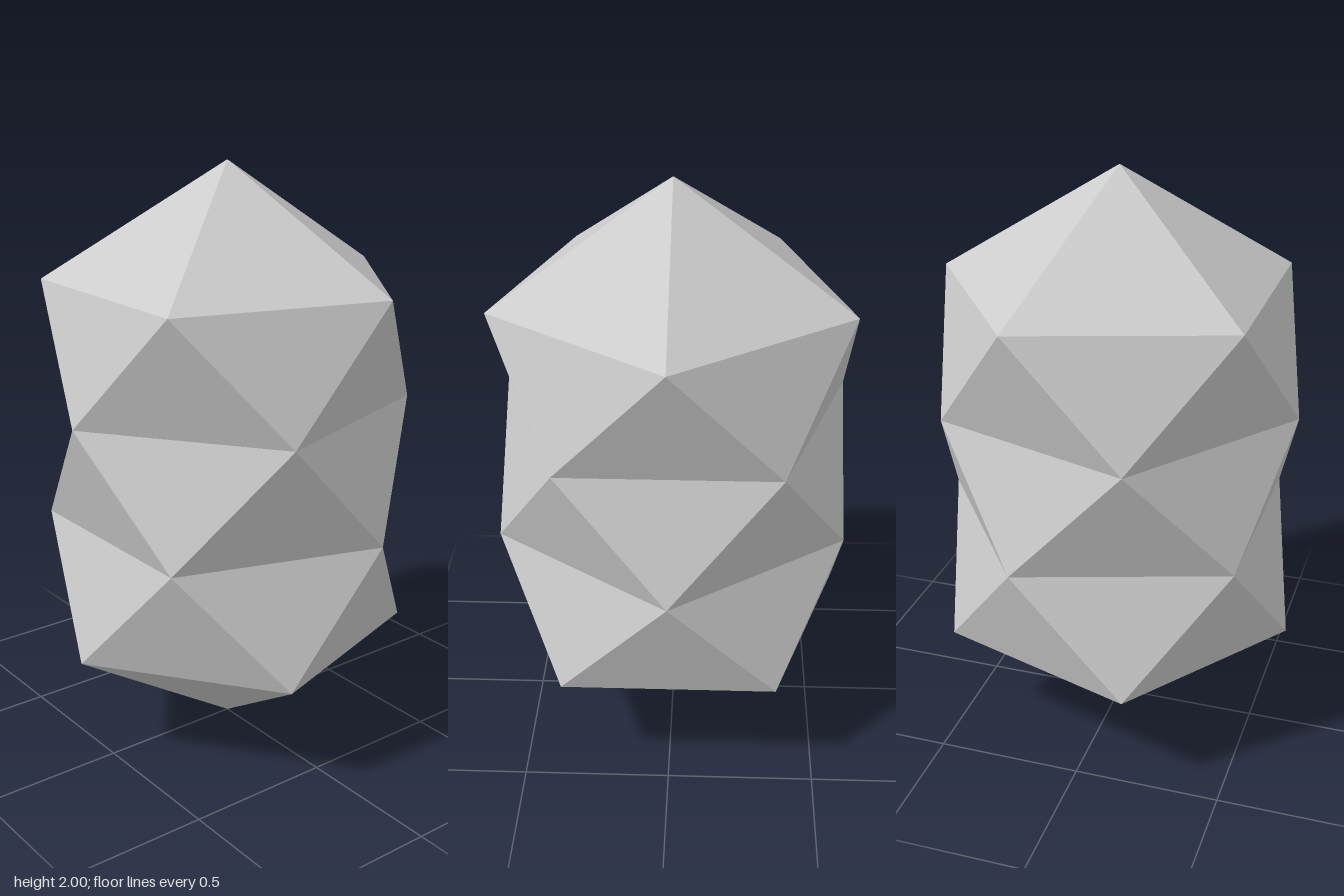
import * as THREE from 'three';

const SIDES = 5;
const RADIUS = 0.615;
const LEVELS = [0.385, 0.795, 1.205, 1.615]; // ring heights, bottom to top

export function createModel() {
  const group = new THREE.Group();
  group.name = 'facetedCrystal';

  // Pentagon rings, each turned half a side from the one below
  const rings = LEVELS.map((y, k) => Array.from({ length: SIDES }, (_, i) => {
    const a = (i + (k + 1) / 2) * 2 * Math.PI / SIDES;
    return new THREE.Vector3(RADIUS * Math.cos(a), y, RADIUS * Math.sin(a));
  }));
  const bottom = new THREE.Vector3(0, 0, 0);
  const top = new THREE.Vector3(0, 2, 0);
  const first = rings[0];
  const last = rings[rings.length - 1];

  const bands = [], lowerCap = [], upperCap = [];
  for (let i = 0; i < SIDES; i++) {
    const j = (i + 1) % SIDES;
    lowerCap.push(first[j], bottom, first[i]);
    upperCap.push(last[j], last[i], top);
    // Alternating triangles between neighbouring rings
    for (let k = 0; k < rings.length - 1; k++) {
      const low = rings[k], up = rings[k + 1];
      bands.push(low[j], low[i], up[i], up[j], low[j], up[i]);
    }
  }

  const material = new THREE.MeshStandardMaterial({ color: 0xcccccc, flatShading: true });
  const addPart = (name, points) => {
    const geometry = new THREE.BufferGeometry().setFromPoints(points);
    geometry.computeVertexNormals();
    const mesh = new THREE.Mesh(geometry, material);
    mesh.name = name;
    group.add(mesh);
  };
  addPart('lowerCap', lowerCap);
  addPart('sideBands', bands);
  addPart('upperCap', upperCap);
  return group;
}
